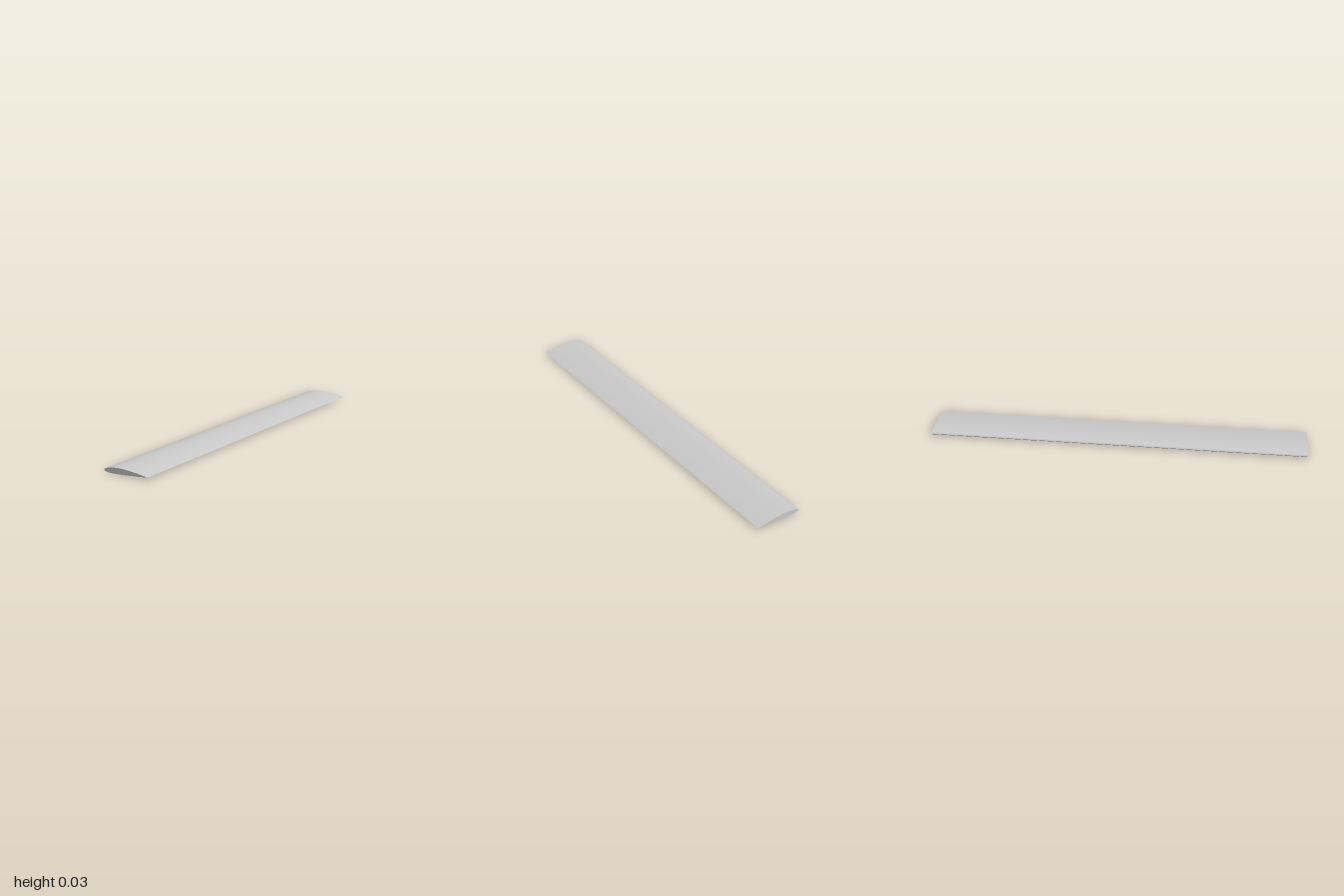
import * as THREE from 'three';
import { toCreasedNormals } from 'three/addons/utils/BufferGeometryUtils.js';

const CHORD = 0.25, SPAN = 2;
const CAMBER = 0.02, CAMBER_POS = 0.4, THICKNESS = 0.12;
const STEPS = 40;

// Point on the cambered aerofoil; t runs 0..1 from nose to tail, side is +1 (top) or -1 (bottom)
function foilPoint(t, side) {
  const x = (1 - Math.cos(Math.PI * t)) / 2;
  const half = 5 * THICKNESS *
    (0.2969 * Math.sqrt(x) - 0.126 * x - 0.3516 * x ** 2 + 0.2843 * x ** 3 - 0.1036 * x ** 4);
  const k = CAMBER / (x < CAMBER_POS ? CAMBER_POS : 1 - CAMBER_POS) ** 2;
  const mean = x < CAMBER_POS
    ? k * (2 * CAMBER_POS * x - x * x)
    : k * (1 - 2 * CAMBER_POS + 2 * CAMBER_POS * x - x * x);
  const slope = Math.atan(2 * k * (CAMBER_POS - x));
  return new THREE.Vector2(
    (x - side * half * Math.sin(slope) - 0.5) * CHORD,
    (mean + side * half * Math.cos(slope)) * CHORD
  );
}

export function createModel() {
  const group = new THREE.Group();
  group.name = 'wing';

  // Outline: tail to nose over the top, then back along the underside
  const outline = [];
  for (let i = STEPS; i >= 0; i--) outline.push(foilPoint(i / STEPS, 1));
  for (let i = 1; i < STEPS; i++) outline.push(foilPoint(i / STEPS, -1));

  // Straight wing section along z, smooth skin with sharp tips and trailing edge
  const extruded = new THREE.ExtrudeGeometry(new THREE.Shape(outline), {
    depth: SPAN, bevelEnabled: false, steps: 1,
  });
  const geometry = toCreasedNormals(extruded, 0.8);
  geometry.center();
  geometry.computeBoundingBox();
  geometry.translate(0, -geometry.boundingBox.min.y, 0);

  const wing = new THREE.Mesh(geometry, new THREE.MeshStandardMaterial({ color: 0xcccccc }));
  wing.name = 'wingPanel';
  group.add(wing);
  return group;
}
